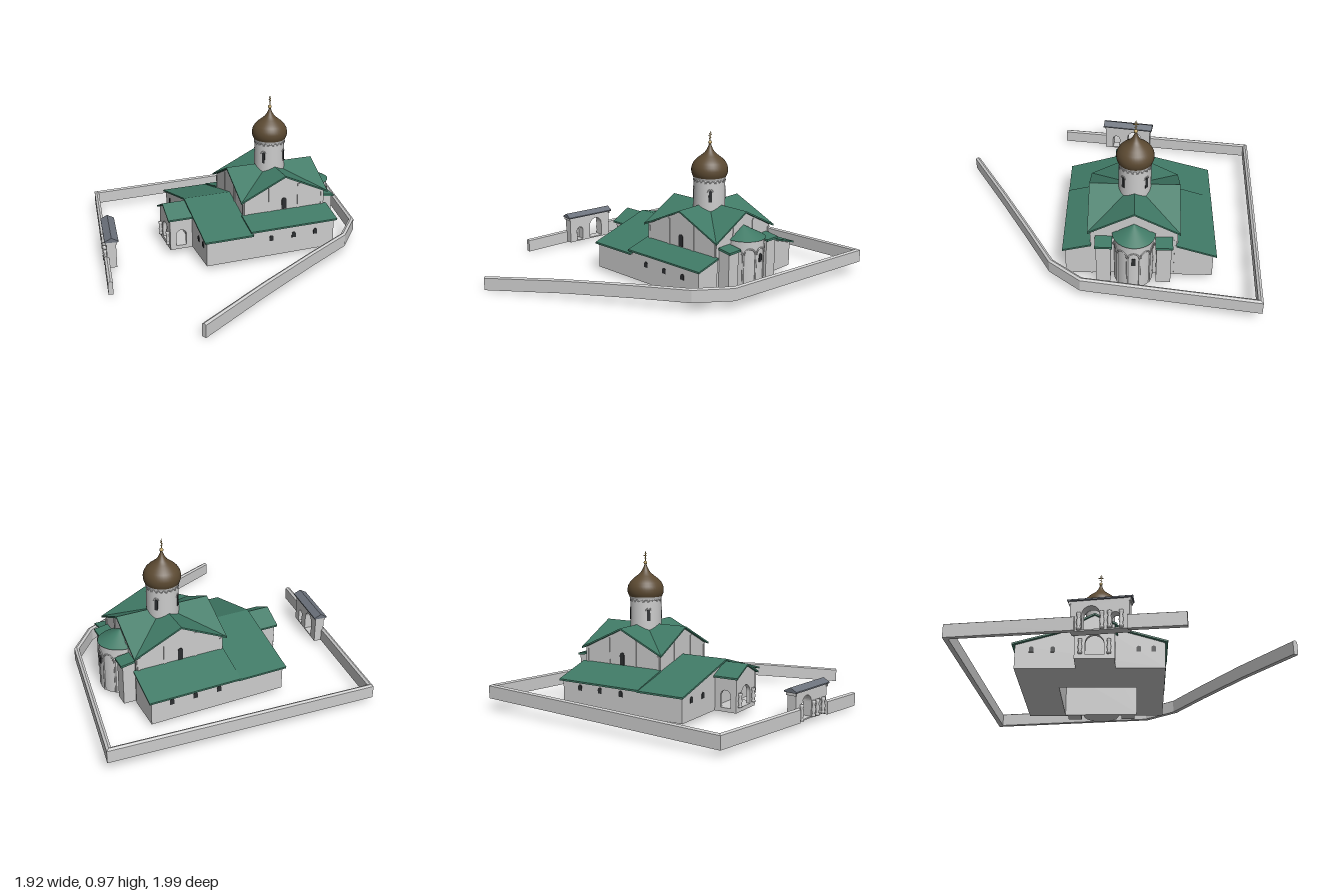
import * as THREE from 'three';

const mat = (color, opts = {}) => new THREE.MeshStandardMaterial({ color, ...opts });
const stone = mat(0xcccccc), roofGreen = mat(0x407a66), dark = mat(0x2c2e30);
const bronze = mat(0x5c4a32, { side: THREE.DoubleSide }), gold = mat(0xc2a566), slate = mat(0x6c727c);

const CX = 0.292, CZ = -0.17, GROUND = 0.03; // middle of the main cube

function add(parent, name, geo, material, x = 0, y = 0, z = 0, ry = 0) {
  const m = new THREE.Mesh(geo, material);
  m.name = name;
  m.position.set(x, y, z);
  m.rotation.y = ry;
  parent.add(m);
  return m;
}

// Closed solid through rings of [x, y, z]; each ring runs counter-clockwise seen from the last one
function loft(rings) {
  const pos = [], tri = (a, b, c) => pos.push(...a, ...b, ...c);
  const first = rings[0], last = rings[rings.length - 1], n = first.length;
  for (let i = 1; i < n - 1; i++) {
    tri(first[0], first[i + 1], first[i]);
    tri(last[0], last[i], last[i + 1]);
  }
  for (let r = 0; r < rings.length - 1; r++) {
    for (let i = 0; i < n; i++) {
      const a = rings[r], b = rings[r + 1], j = (i + 1) % n;
      tri(a[i], a[j], b[j]);
      tri(a[i], b[j], b[i]);
    }
  }
  const g = new THREE.BufferGeometry();
  g.setAttribute('position', new THREE.Float32BufferAttribute(pos, 3));
  g.computeVertexNormals();
  return g;
}

// Sloping roof plate, corners counter-clockwise from above
const plate = (pts, t = 0.011) => loft([pts.map(([x, y, z]) => [x, y - t, z]), pts]);

// Solid from a (z, y) profile run along x; profile is turned as seen from +x
const alongX = (profile, x0, x1) =>
  loft([x0, x1].map(x => profile.map(([z, y]) => [x, y, z])));

// Round-headed outline: centre x, sill y, width, full height
function archOutline(target, x, y, w, h) {
  const r = w / 2;
  target.moveTo(x - r, y);
  target.lineTo(x + r, y);
  target.lineTo(x + r, y + h - r);
  target.absarc(x, y + h - r, r, 0, Math.PI, false);
  target.lineTo(x - r, y);
  return target;
}

// Upright wall facing +z with arched openings; its outer face is at z = 0
function panel(outline, arches, depth) {
  const s = new THREE.Shape(outline.map(p => new THREE.Vector2(...p)));
  s.holes = arches.map(a => archOutline(new THREE.Path(), ...a));
  return new THREE.ExtrudeGeometry(s, { depth, bevelEnabled: false, curveSegments: 8 }).translate(0, 0, -depth);
}

function archWindow(parent, x, y, z, ry, w, h) {
  const shape = archOutline(new THREE.Shape(), 0, 0, w, h);
  add(parent, 'window', new THREE.ExtrudeGeometry(shape, { depth: 0.006, bevelEnabled: false, curveSegments: 6 })
    .translate(0, 0, -0.003), dark, x, y, z, ry);
}

// Small half-round mouldings around a cylinder
function arcade(parent, name, x, y, z, radius, arc, tube, angles) {
  for (const a of angles) {
    add(parent, name, new THREE.TorusGeometry(arc, tube, 5, 8, Math.PI), stone,
      x + Math.sin(a) * radius, y, z + Math.cos(a) * radius, a);
  }
}

function buildMainCube(g) {
  const hx = 0.307, hz = 0.283, wx = 0.285, wz = 0.264, eave = 0.365, top = 0.51;
  for (let k = 0; k < 4; k++) {
    const a = k * Math.PI / 2, side = k % 2;
    const half = side ? wz : wx, out = side ? wx : wz;
    const x = CX + Math.sin(a) * out, z = CZ + Math.cos(a) * out;
    add(g, 'gableWall', panel([[-half, GROUND], [half, GROUND], [half, 0.363], [0, 0.501], [-half, 0.363]], [], 0.02),
      stone, x, 0, z, a);
    if (!side) archWindow(g, x, 0.273, z, a, 0.034, 0.08);
    // corner and inner pilaster strips
    for (const s of [-0.96, -0.36, 0.36, 0.96]) {
      const h = 0.49 - 0.14 * Math.abs(s) - 0.25;
      add(g, 'pilaster', new THREE.BoxGeometry(0.016, h, 0.008), stone,
        x + Math.cos(a) * half * s, 0.25 + h / 2, z - Math.sin(a) * half * s, a);
    }
  }
  // crossing gables: eight triangles meeting at the centre
  const c = [CX, top, CZ];
  for (const sx of [-1, 1]) for (const sz of [-1, 1]) {
    const corner = [CX + sx * hx, eave, CZ + sz * hz];
    const tris = [[c, [CX, top, CZ + sz * hz], corner], [c, corner, [CX + sx * hx, top, CZ]]];
    for (const t of tris) add(g, 'crossGableRoof', plate(sx * sz > 0 ? t : t.reverse()), roofGreen);
  }
}

function buildDrumAndDome(g) {
  add(g, 'drum', new THREE.CylinderGeometry(0.1, 0.102, 0.25, 40), stone, CX, 0.565, CZ);
  add(g, 'drumCornice', new THREE.CylinderGeometry(0.107, 0.102, 0.015, 40), stone, CX, 0.68, CZ);
  const around = Array.from({ length: 20 }, (_, i) => i * Math.PI / 10);
  arcade(g, 'drumFrieze', CX, 0.655, CZ, 0.1, 0.013, 0.003, around);
  for (let k = 0; k < 4; k++) {
    const a = Math.PI / 4 + k * Math.PI / 2, s = Math.sin(a), c = Math.cos(a);
    archWindow(g, CX + s * 0.1, 0.535, CZ + c * 0.1, a, 0.02, 0.075);
    arcade(g, 'windowHood', CX, 0.6, CZ, 0.1, 0.017, 0.003, [a]);
  }
  const profile = [[0.1, 0.675], [0.109, 0.69], [0.116, 0.71], [0.117, 0.733], [0.112, 0.755], [0.1, 0.777], [0.08, 0.798],
    [0.055, 0.817], [0.034, 0.835], [0.02, 0.855], [0.011, 0.875], [0.004, 0.897]];
  add(g, 'onionDome', new THREE.LatheGeometry(profile.map(p => new THREE.Vector2(...p)), 40), bronze, CX, 0, CZ);
  add(g, 'finialBall', new THREE.SphereGeometry(0.012, 14, 10), gold, CX, 0.9, CZ);
  add(g, 'crossShaft', new THREE.BoxGeometry(0.004, 0.07, 0.004), gold, CX, 0.937, CZ);
  for (const [y, w, tilt] of [[0.958, 0.018, 0], [0.946, 0.034, 0], [0.928, 0.02, 0.4]]) {
    add(g, 'crossBar', new THREE.BoxGeometry(0.004, 0.004, w), gold, CX, y, CZ).rotation.x = tilt;
  }
}

function buildApses(g) {
  const x = 0.577;
  add(g, 'apse', new THREE.CylinderGeometry(0.12, 0.12, 0.32, 32, 1, false, 0, Math.PI).scale(1.15, 1, 1), stone, x, 0.19, CZ);
  add(g, 'apseRoof', new THREE.ConeGeometry(0.132, 0.07, 32, 1, false, 0, Math.PI).scale(1.1, 1, 1), roofGreen, x, 0.385, CZ);
  archWindow(g, x + 0.138, 0.21, CZ, Math.PI / 2, 0.026, 0.055);
  const spot = a => [x + Math.sin(a) * 0.138, CZ + Math.cos(a) * 0.12];
  for (let i = 0; i < 5; i++) {
    const a = Math.PI * (0.1 + i * 0.2), [px, pz] = spot(a);
    add(g, 'apseArch', new THREE.TorusGeometry(0.036, 0.005, 6, 10, Math.PI), stone, px, 0.265, pz, a);
    if (i < 4) {
      const [qx, qz] = spot(a + Math.PI * 0.1);
      add(g, 'apseShaft', new THREE.CylinderGeometry(0.006, 0.006, 0.235, 8), stone, qx, 0.148, qz);
    }
  }
  for (const s of [-1, 1]) {
    const z = CZ + s * 0.184;
    add(g, 'sideApse', new THREE.BoxGeometry(0.085, 0.275, 0.09), stone, 0.613, 0.1675, z);
    add(g, 'sideApseRoof', plate([[0.575, 0.325, z + 0.053], [0.668, 0.31, z + 0.053],
      [0.668, 0.31, z - 0.053], [0.575, 0.325, z - 0.053]], 0.014), roofGreen);
  }
}

function buildGalleries(g) {
  add(g, 'westHall', alongX([[0.25, GROUND], [-0.66, GROUND], [-0.66, 0.184], [CZ, 0.32], [0.25, 0.193]], -0.3, 0.02), stone);
  add(g, 'southGallery', alongX([[0.25, GROUND], [0.08, GROUND], [0.08, 0.258], [0.25, 0.215]], 0.015, 0.583), stone);
  add(g, 'northGallery', alongX([[-0.42, GROUND], [-0.66, GROUND], [-0.66, 0.188], [-0.42, 0.262]], 0.015, 0.583), stone);
  const strip = (name, x0, x1, zs, ys, zn, yn) =>
    add(g, name, plate([[x0, ys, zs], [x1, ys, zs], [x1, yn, zn], [x0, yn, zn]]), roofGreen);
  strip('westHallRoof', -0.315, 0.012, 0.268, 0.203, CZ, 0.332);
  strip('westHallRoof', -0.315, 0.012, CZ, 0.332, -0.68, 0.193);
  strip('southGalleryRoof', -0.005, 0.6, 0.268, 0.226, 0.09, 0.27);
  strip('northGalleryRoof', 0, 0.6, -0.43, 0.274, -0.68, 0.197);
  for (const x of [0.14, 0.297, 0.45]) {
    archWindow(g, x, 0.135, 0.25, 0, 0.028, 0.038);
    archWindow(g, x, 0.135, -0.66, Math.PI, 0.028, 0.038);
  }
  for (const z of [-0.56, -0.43, 0.09, 0.18]) archWindow(g, -0.3, 0.135, z, -Math.PI / 2, 0.028, 0.038);
}

function pillar(parent, x, y, z, h) {
  const pts = [[0, 0], [0.013, 0], [0.013, 0.12], [0.008, 0.18], [0.014, 0.45], [0.008, 0.75], [0.013, 0.85], [0.013, 1], [0, 1]];
  add(parent, 'barrelPillar', new THREE.LatheGeometry(pts.map(([r, t]) => new THREE.Vector2(r, t * h)), 12), stone, x, y, z);
}

function buildPorch(g) {
  const w = 0.12, x0 = -0.45, x1 = -0.3, mid = (x0 + x1) / 2;
  add(g, 'porchFront', panel([[-w, GROUND], [w, GROUND], [w, 0.245], [0, 0.308], [-w, 0.245]],
    [[0, 0.055, 0.11, 0.13]], 0.025), stone, x0, 0, CZ, -Math.PI / 2);
  for (const s of [-1, 1]) {
    add(g, 'porchSide', panel([[-0.075, GROUND], [0.075, GROUND], [0.075, 0.245], [-0.075, 0.245]],
      [[0, 0.055, 0.07, 0.11]], 0.02), stone, mid, 0, CZ + s * w, s > 0 ? 0 : Math.PI);
    pillar(g, x0 - 0.008, 0.06, CZ + s * 0.085, 0.09);
    const edge = [[-0.465, 0.25, CZ + s * 0.135], [-0.29, 0.25, CZ + s * 0.135], [-0.29, 0.318, CZ], [-0.465, 0.318, CZ]];
    add(g, 'porchRoof', plate(s > 0 ? edge : edge.reverse()), roofGreen);
  }
  add(g, 'porchFloor', new THREE.BoxGeometry(0.15, 0.025, 0.24), stone, mid, GROUND + 0.0125, CZ);
}

// Gate house, its outer side turned to local +z
function buildGate(parent) {
  const g = new THREE.Group();
  g.name = 'gateHouse';
  g.position.set(-0.836, 0, -0.118);
  g.rotation.y = Math.atan2(-0.989, -0.148);
  parent.add(g);
  add(g, 'gateWall', panel([[-0.165, 0.025], [0.165, 0.025], [0.165, 0.212], [-0.165, 0.212]],
    [[-0.05, 0.033, 0.1, 0.14], [0.085, 0.033, 0.05, 0.095]], 0.06), stone, 0, 0, 0.032);
  for (const x of [-0.114, 0.014, 0.056, 0.12]) pillar(g, x, 0.03, 0.04, 0.1);
  add(g, 'gateRoof', alongX([[0.044, 0.206], [-0.044, 0.206], [-0.044, 0.214], [0, 0.237], [0.044, 0.214]], -0.18, 0.18), slate);
  for (const x of [-0.167, 0.167]) {
    add(g, 'gateCornice', new THREE.BoxGeometry(0.012, 0.02, 0.07), stone, x, 0.198, 0.002);
  }
}

// Fence wall with a low ridged cap along [x, ground y, z] points, mitred at the corners
function buildFence(g, path) {
  const p = path.map(v => new THREE.Vector3(...v)), up = new THREE.Vector3(0, 1, 0);
  const dir = i => p[i + 1].clone().sub(p[i]).setY(0).normalize();
  const rings = p.map((q, i) => {
    const a = dir(Math.max(0, i - 1)), b = dir(Math.min(p.length - 2, i));
    const d = a.clone().add(b).normalize(), side = up.clone().cross(d);
    const w = 0.015 / d.dot(b);
    return [[-w, 0], [w, 0], [w, 0.08], [0, 0.088], [-w, 0.08]]
      .map(([s, h]) => [q.x + side.x * s, q.y + h, q.z + side.z * s]);
  });
  add(g, 'fenceWall', loft(rings), stone);
}

export function createModel() {
  const model = new THREE.Group();
  model.name = 'walledChurch';
  buildMainCube(model);
  buildDrumAndDome(model);
  buildApses(model);
  buildGalleries(model);
  buildPorch(model);
  buildGate(model);
  buildFence(model, [[-0.943, 0.008, 0.35], [-0.893, 0.016, 0.03]]);
  buildFence(model, [[-0.85, 0.025, -0.26], [-0.738, 0.037, -0.983], [0.1, 0.058, -0.95], [0.942, 0.077, -0.915],
    [0.77, 0.063, 0.145], [0.61, 0.062, 0.34], [0.3, 0.053, 0.507], [-0.1, 0.035, 0.725], [-0.565, 0, 0.98]]);
  return model;
}
